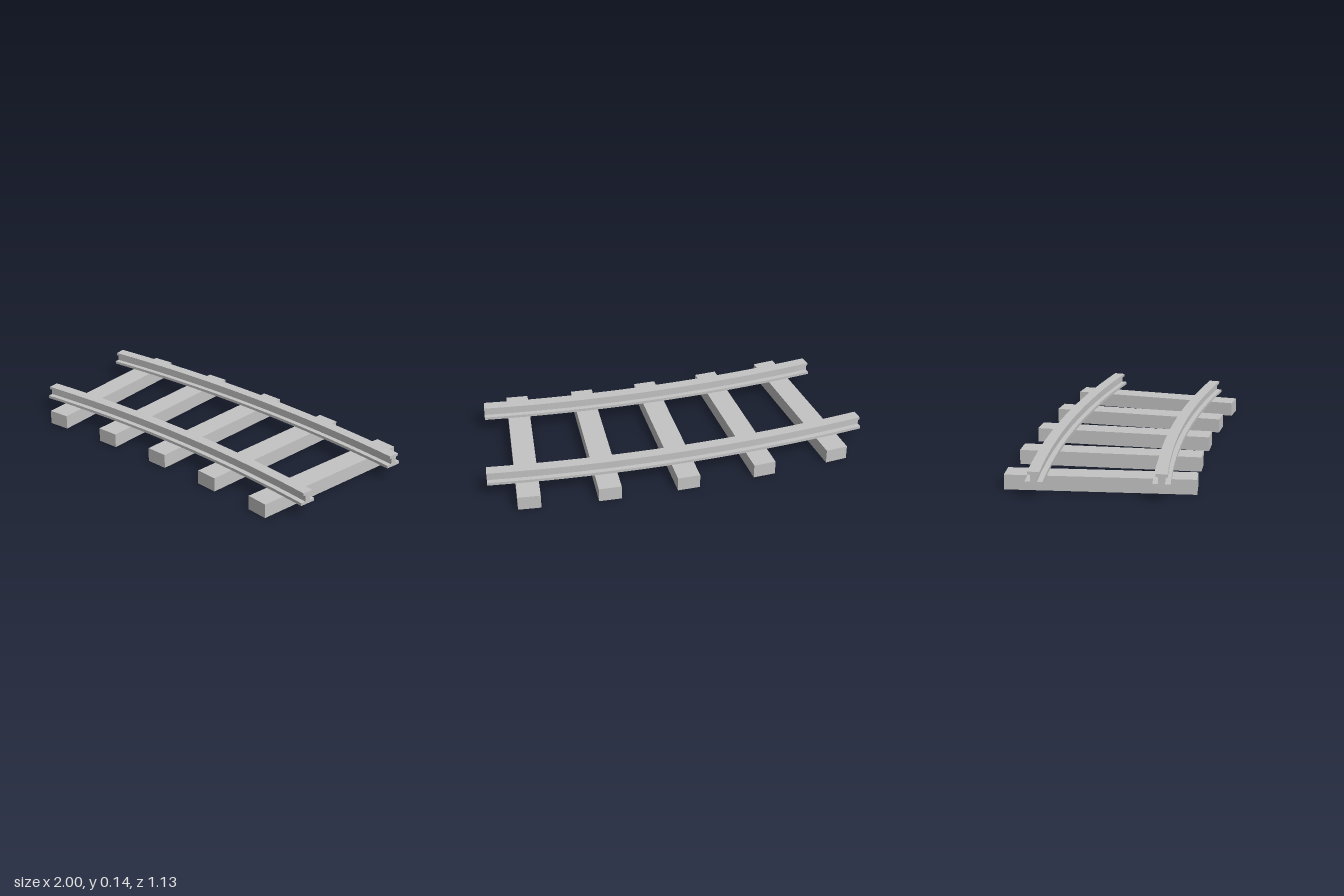
import * as THREE from 'three';
import { toCreasedNormals } from 'three/addons/utils/BufferGeometryUtils.js';

// The track follows an arc about the point (X0, ZC), starting along +x
const X0 = -1, ZC = 7.28;
const SWEEP = THREE.MathUtils.degToRad(15);
const OUTER = 7.684, GAUGE = 0.6;
const SLEEPERS = 5, SLEEPER_TOP = 0.075;

// I-shaped rail section: half-width and height, from foot to head
const SECTION = [
  [0.043, 0.075], [0.043, 0.09], [0.016, 0.09],
  [0.016, 0.124], [0.029, 0.124], [0.029, 0.139],
];

function railGeometry(radius) {
  const right = SECTION.map(([x, y]) => new THREE.Vector2(x, y));
  const left = SECTION.map(([x, y]) => new THREE.Vector2(-x, y)).reverse();
  const geometry = new THREE.ExtrudeGeometry(new THREE.Shape([...right, ...left]), {
    depth: 1, steps: 20, bevelEnabled: false,
  });
  // Bend the straight extrusion round the arc
  const p = geometry.attributes.position;
  for (let i = 0; i < p.count; i++) {
    const r = radius + p.getX(i);
    const a = p.getZ(i) * SWEEP;
    p.setXYZ(i, X0 + r * Math.sin(a), p.getY(i), ZC - r * Math.cos(a));
  }
  geometry.computeVertexNormals();
  return toCreasedNormals(geometry, 0.5);
}

export function createModel() {
  const track = new THREE.Group();
  track.name = 'curvedTrack';
  const grey = new THREE.MeshStandardMaterial({ color: 0xc4c4c4 });
  grey.name = 'lightGrey';

  // Rails
  for (const [name, radius] of [['outerRail', OUTER], ['innerRail', OUTER - GAUGE]]) {
    const rail = new THREE.Mesh(railGeometry(radius), grey);
    rail.name = name;
    track.add(rail);
  }

  // Sleepers, each lying along a radius of the arc
  const sleeperGeometry = new THREE.BoxGeometry(0.118, SLEEPER_TOP, 0.93);
  const middle = OUTER - GAUGE / 2;
  for (let i = 0; i < SLEEPERS; i++) {
    const a = ((i + 0.5) / SLEEPERS) * SWEEP;
    const sleeper = new THREE.Mesh(sleeperGeometry, grey);
    sleeper.name = `sleeper${i + 1}`;
    sleeper.position.set(X0 + middle * Math.sin(a), SLEEPER_TOP / 2, ZC - middle * Math.cos(a));
    sleeper.rotation.y = -a;
    track.add(sleeper);
  }
  return track;
}
